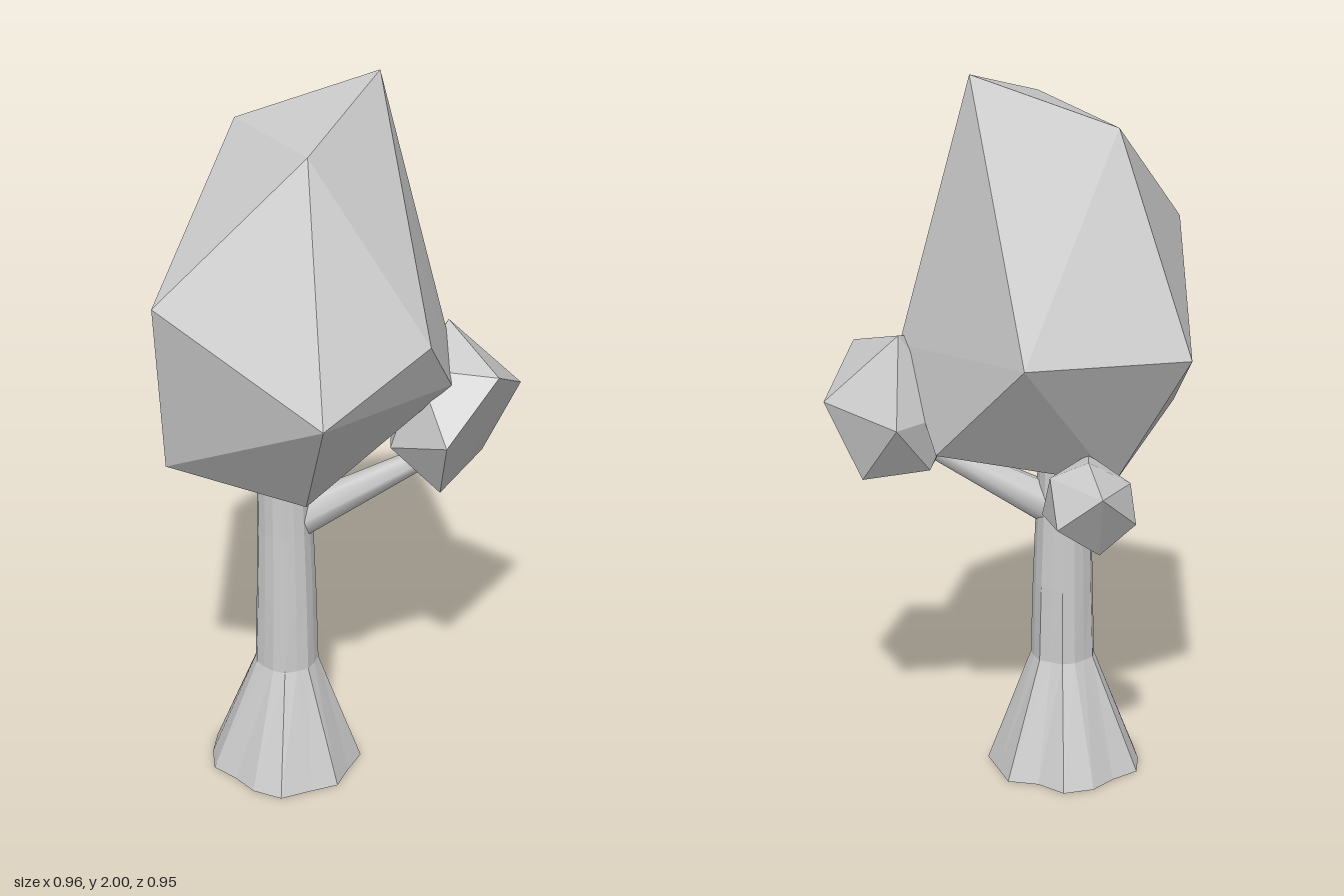
import * as THREE from 'three';
import { ConvexGeometry } from 'three/addons/geometries/ConvexGeometry.js';

const grey = new THREE.MeshStandardMaterial({ color: 0xcccccc });
const faceted = new THREE.MeshStandardMaterial({ color: 0xcccccc, flatShading: true });
const V = (p) => new THREE.Vector3(...p);

// Faceted clump of leaves: the hull of a few corner points
function foliage(name, corners) {
  const mesh = new THREE.Mesh(new ConvexGeometry(corners.map(V)), faceted);
  mesh.name = name;
  return mesh;
}

// Tapered branch between two points
function branch(name, from, to, r0, r1) {
  const a = V(from), b = V(to), dir = b.clone().sub(a);
  const mesh = new THREE.Mesh(new THREE.CylinderGeometry(r1, r0, dir.length(), 7), grey);
  mesh.position.copy(a).add(b).multiplyScalar(0.5);
  mesh.quaternion.setFromUnitVectors(new THREE.Vector3(0, 1, 0), dir.normalize());
  mesh.name = name;
  return mesh;
}

// Trunk: stacked rings, with ridges that grow towards the flared foot
function trunk() {
  const sides = 16;
  const ridges = [1, 0.92, 1.02, 0.95, 1.05, 0.97, 0.88, 1.0, 0.98, 1.03, 0.9, 1.0, 1.04, 0.86, 1.02, 0.93];
  const rings = [ // height, radius, centre x, centre z, ridge depth
    [0, 0.215, -0.163, 0.03, 1],
    [0.33, 0.089, -0.157, 0.03, 0.5],
    [0.55, 0.083, -0.156, 0.028, 0.3],
    [0.75, 0.077, -0.157, 0.026, 0.3],
    [0.95, 0.073, -0.16, 0.026, 0.3],
  ];
  const pos = [], index = [];
  for (const [y, r, cx, cz, depth] of rings) {
    for (let i = 0; i < sides; i++) {
      const t = (i / sides) * Math.PI * 2;
      const rr = r * (1 + (ridges[i] - 1) * depth);
      pos.push(cx + rr * Math.cos(t), y, cz + rr * Math.sin(t));
    }
  }
  const bottom = pos.length / 3, top = bottom + 1, last = (rings.length - 1) * sides;
  pos.push(-0.163, 0, 0.03, -0.16, 0.95, 0.026);
  for (let i = 0; i < sides; i++) {
    const j = (i + 1) % sides;
    for (let k = 0; k < rings.length - 1; k++) {
      const a = k * sides + i, b = k * sides + j;
      index.push(a, a + sides, b, b, a + sides, b + sides);
    }
    index.push(bottom, i, j, top, last + j, last + i);
  }
  const g = new THREE.BufferGeometry();
  g.setAttribute('position', new THREE.Float32BufferAttribute(pos, 3));
  g.setIndex(index);
  const mesh = new THREE.Mesh(g, faceted);
  mesh.name = 'trunk';
  return mesh;
}

export function createModel() {
  const tree = new THREE.Group();
  tree.name = 'tree';
  tree.add(
    trunk(),
    branch('sideBranch', [-0.15, 0.76, 0.025], [0.24, 0.97, 0], 0.06, 0.028),
    branch('backBranch', [-0.16, 0.85, 0.0], [-0.21, 0.87, -0.25], 0.016, 0.008),
    foliage('mainCrown', [
      // top
      [-0.29, 1.865, -0.16], [0.09, 2, -0.16], [-0.08, 1.89, 0.19],
      // middle
      [-0.48, 1.3, -0.33], [-0.055, 1.3, -0.43], [0.28, 1.27, -0.1], [0.29, 1.22, 0.09],
      [0.235, 1.41, 0.265], [-0.03, 1.27, 0.475], [-0.47, 1.52, 0.3],
      // underside
      [-0.46, 1.02, 0.2], [-0.09, 0.9, 0.19], [-0.29, 0.9, -0.15], [0.18, 1.0, -0.22],
    ]),
    foliage('sideCrown', [
      [0.28, 1.305, -0.14], [0.415, 1.23, 0.065], [0.2, 1.25, 0.06],
      [0.48, 1.12, -0.14], [0.28, 1.08, 0.19], [0.28, 1.08, -0.26],
      [0.13, 1.08, -0.1], [0.13, 1.02, 0.07],
      [0.38, 0.905, -0.15], [0.265, 0.88, 0.06], [0.2, 0.93, -0.14],
    ]),
    foliage('backCrown', [
      [-0.22, 1.02, -0.32], [-0.255, 0.975, -0.475], [-0.12, 0.97, -0.3],
      [-0.33, 0.95, -0.28], [-0.22, 1.0, -0.2], [-0.14, 0.88, -0.445],
      [-0.345, 0.85, -0.32], [-0.1, 0.85, -0.25], [-0.3, 0.86, -0.18],
      [-0.25, 0.775, -0.35], [-0.2, 0.775, -0.19],
    ]),
  );
  return tree;
}
